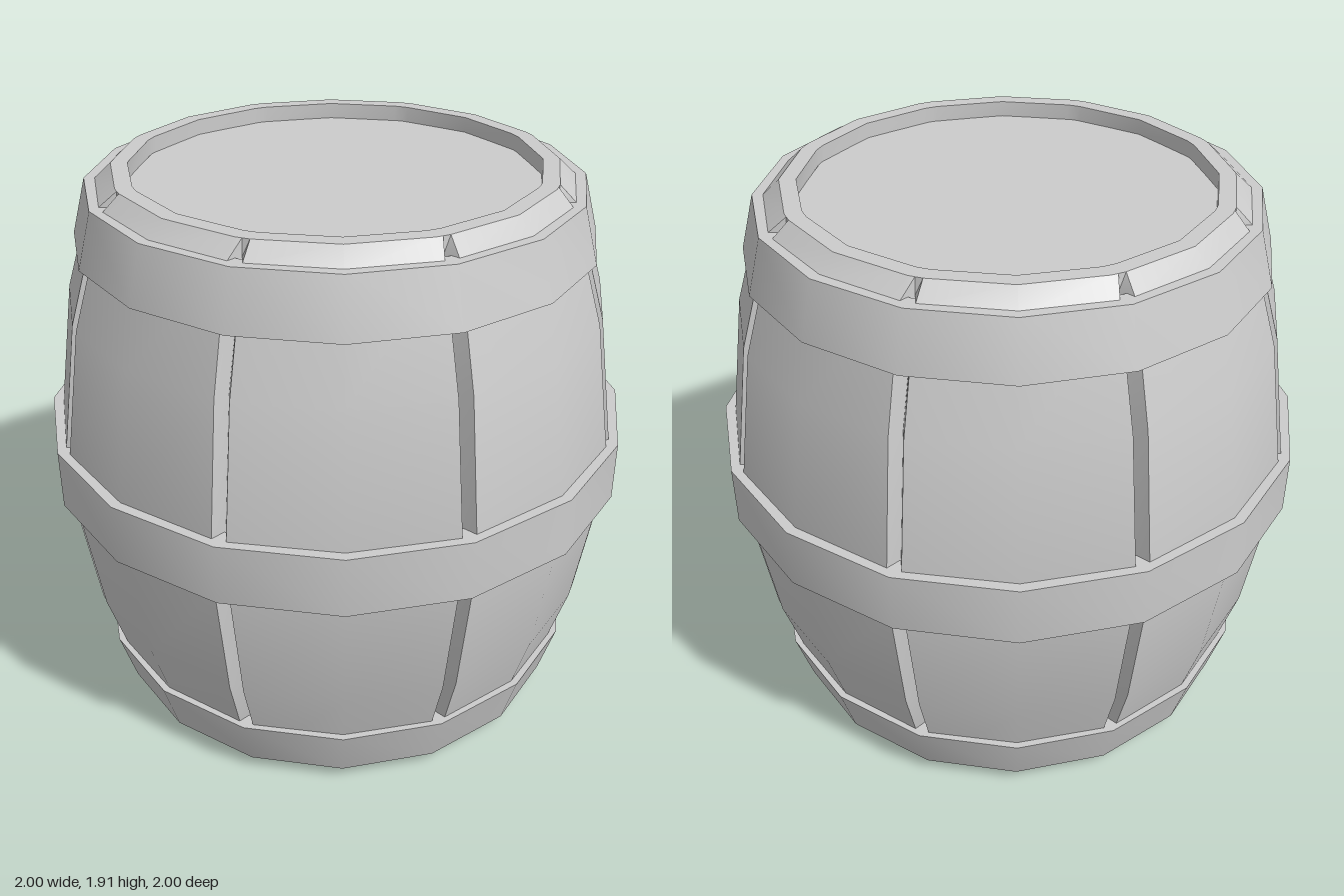
import * as THREE from 'three';
import { toCreasedNormals } from 'three/addons/utils/BufferGeometryUtils.js';

const STAVES = 8;
const SIDES = STAVES * 2;
const CREASE = THREE.MathUtils.degToRad(29);
const GROOVE_HALF_WIDTH = 0.024;

const material = new THREE.MeshStandardMaterial({ color: 0xcccccc });

function addMesh(group, name, geometry) {
  const mesh = new THREE.Mesh(geometry, material);
  mesh.name = name;
  group.add(mesh);
  return mesh;
}

// One ring of the body: per stave a groove bottom, two stave edges and a middle point
function bodyRing([radius, y, grooveDepth]) {
  const points = [];
  const step = (Math.PI * 2) / STAVES;
  const gap = radius > 0 ? GROOVE_HALF_WIDTH / radius : 0;
  for (let i = 0; i < STAVES; i++) {
    const corners = [
      [0, radius - grooveDepth],
      [gap, radius],
      [step / 2, radius],
      [step - gap, radius],
    ];
    for (const [offset, r] of corners) {
      const a = i * step + offset;
      points.push(r * Math.sin(a), y, r * Math.cos(a));
    }
  }
  return points;
}

// Skins the rings from the underside, up the outside and down into the recess
function bodyGeometry(profile) {
  const count = STAVES * 4;
  const positions = profile.flatMap(bodyRing);
  const index = [];
  for (let k = 0; k < profile.length - 1; k++) {
    for (let i = 0; i < count; i++) {
      const j = (i + 1) % count;
      const a = k * count + i, b = k * count + j;
      const c = a + count, d = b + count;
      if (profile[k][0] > 0) index.push(a, b, d);
      if (profile[k + 1][0] > 0) index.push(a, d, c);
      else index.push(a, b, c);
    }
  }
  const geometry = new THREE.BufferGeometry();
  geometry.setAttribute('position', new THREE.Float32BufferAttribute(positions, 3));
  geometry.setIndex(index);
  return toCreasedNormals(geometry, CREASE);
}

// Closed band with a slanted outer face
function hoopGeometry(bottomY, bottomR, topY, topR, thickness) {
  const profile = [
    [bottomR - thickness, bottomY],
    [bottomR, bottomY],
    [topR, topY],
    [topR - thickness, topY],
    [bottomR - thickness, bottomY],
  ].map(([r, y]) => new THREE.Vector2(r, y));
  return toCreasedNormals(new THREE.LatheGeometry(profile, SIDES), CREASE);
}

export function createModel() {
  const group = new THREE.Group();
  group.name = 'barrel';

  // Grooved staves with bevelled ends and a flat rim: radius, height, groove depth
  addMesh(group, 'staves', bodyGeometry([
    [0, 0, 0],
    [0.725, 0, 0],
    [0.785, 0.05, 0.055],
    [0.9, 0.43, 0.05],
    [0.965, 0.86, 0.05],
    [0.965, 1.06, 0.05],
    [0.9, 1.49, 0.05],
    [0.785, 1.86, 0.055],
    [0.725, 1.915, 0],
    [0.67, 1.915, 0],
    [0.67, 1.86, 0],
  ]));

  // Recessed lid
  const lid = addMesh(group, 'lid', new THREE.CircleGeometry(0.672, SIDES));
  lid.rotation.x = -Math.PI / 2;
  lid.position.y = 1.862;

  // Three hoops
  addMesh(group, 'lowerHoop', hoopGeometry(0.05, 0.81, 0.235, 0.865, 0.06));
  addMesh(group, 'middleHoop', hoopGeometry(0.855, 1, 1.06, 1, 0.08));
  addMesh(group, 'upperHoop', hoopGeometry(1.68, 0.865, 1.865, 0.815, 0.06));

  return group;
}
